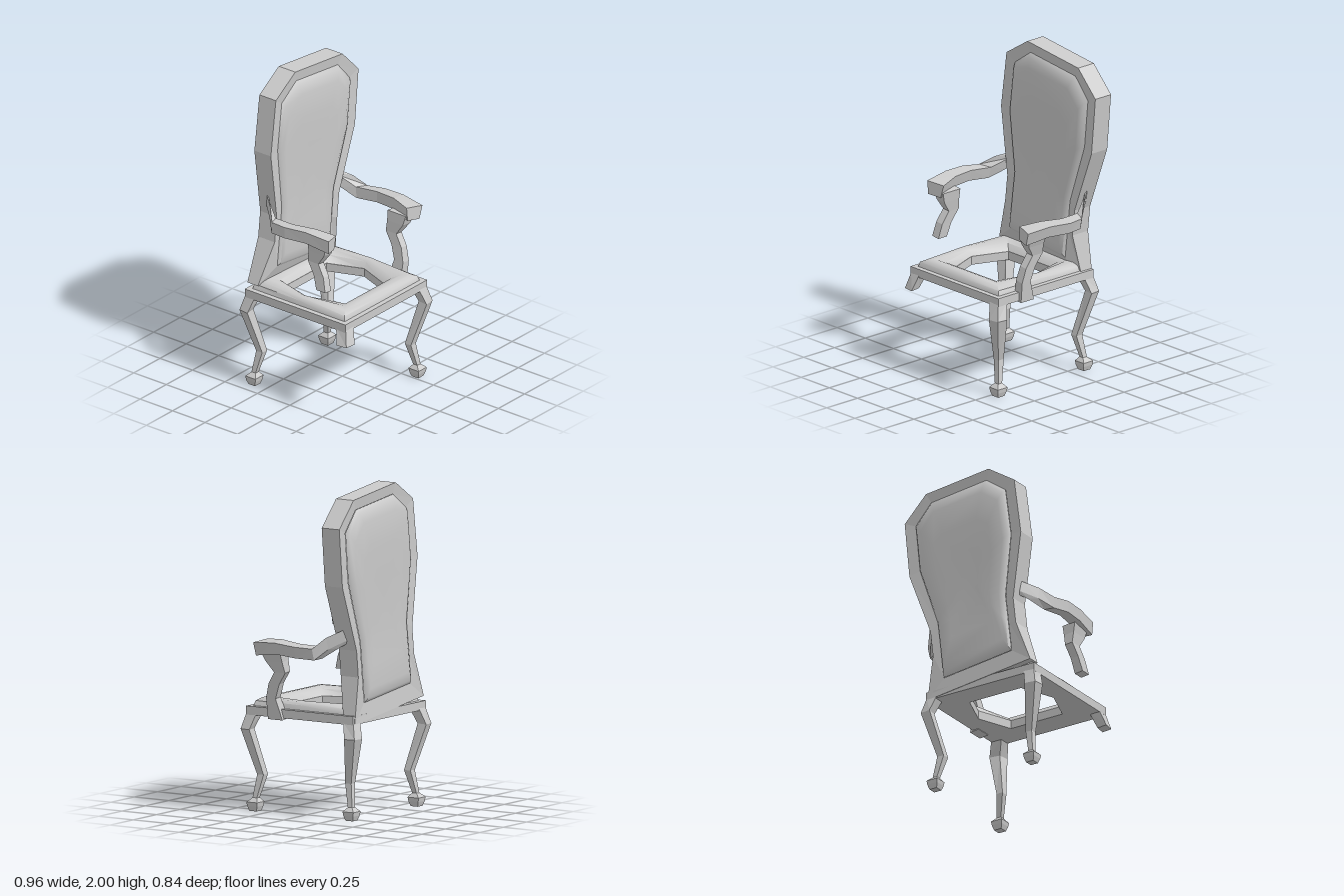
import * as THREE from 'three';
import { toCreasedNormals } from 'three/addons/utils/BufferGeometryUtils.js';

const flat = new THREE.MeshStandardMaterial({ color: 0xcccccc, flatShading: true, side: THREE.DoubleSide });
const smooth = new THREE.MeshStandardMaterial({ color: 0xcccccc, side: THREE.DoubleSide });

// Skin a list of rings (each a loop of [x, y, z]) with optional end caps.
// flip reverses the faces, for mirrored parts.
function loft(rings, { caps = false, flip = false } = {}) {
  const pos = [];
  const tri = (a, b, c) => pos.push(...a, ...(flip ? c : b), ...(flip ? b : c));
  const n = rings[0].length;
  for (let i = 0; i < rings.length - 1; i++) {
    for (let j = 0; j < n; j++) {
      const k = (j + 1) % n;
      const a = rings[i][j], b = rings[i][k], c = rings[i + 1][k], d = rings[i + 1][j];
      tri(a, b, c);
      tri(a, c, d);
    }
  }
  if (caps) {
    const centre = (r) => [0, 1, 2].map((m) => r.reduce((s, p) => s + p[m], 0) / n);
    const first = rings[0], last = rings[rings.length - 1];
    for (let j = 0; j < n; j++) {
      const k = (j + 1) % n;
      tri(centre(first), first[k], first[j]);
      tri(centre(last), last[j], last[k]);
    }
  }
  const g = new THREE.BufferGeometry();
  g.setAttribute('position', new THREE.Float32BufferAttribute(pos, 3));
  g.computeVertexNormals();
  return g;
}

function add(parent, name, geometry, material = flat) {
  const mesh = new THREE.Mesh(geometry, material);
  mesh.name = name;
  parent.add(mesh);
}

const mirrorLoop = (half) => [...half, ...half.slice().reverse().map(([x, y]) => [-x, y])];

// Seat: slab with a six-sided opening, and a padded rim around it
function makeSeat() {
  const seat = new THREE.Group();
  seat.name = 'seat';
  const hole = [[0.27, 0], [0.185, 0.223], [0, 0.223], [-0.185, 0.223],
    [-0.27, 0], [-0.185, -0.223], [0, -0.223], [0.185, -0.223]];
  const edge = [[1, 0], [1, 1], [0, 1], [-1, 1], [-1, 0], [-1, -1], [0, -1], [1, -1]]
    .map(([x, z]) => [x * 0.358, z * 0.355]);

  const shape = new THREE.Shape([[-0.39, -0.387], [0.39, -0.387], [0.39, 0.387], [-0.39, 0.387]]
    .map(([x, y]) => new THREE.Vector2(x, y)));
  shape.holes.push(new THREE.Path(hole.map(([x, y]) => new THREE.Vector2(x, y))));
  const slab = new THREE.ExtrudeGeometry(shape, { depth: 0.053, bevelEnabled: false });
  slab.rotateX(-Math.PI / 2).translate(0, 0.585, 0);
  add(seat, 'seatFrame', slab);

  // [blend from outer edge to opening, height]
  const rings = [[0, 0.636], [0.06, 0.668], [0.25, 0.686], [0.5, 0.69], [0.78, 0.675], [1, 0.636]]
    .map(([t, y]) => edge.map(([x, z], i) => [x + (hole[i][0] - x) * t, y, z + (hole[i][1] - z) * t]));
  add(seat, 'seatCushion', toCreasedNormals(loft(rings, { flip: true }), 0.9), smooth);
  seat.position.x = -0.06;
  return seat;
}

// Leg: diamond cross-sections set along the seat diagonal
// [height, distance out, half width, half depth]
const legSections = [
  [0.60, 0.495, 0.052, 0.05], [0.50, 0.54, 0.055, 0.042], [0.22, 0.448, 0.03, 0.033],
  [0.08, 0.487, 0.022, 0.022], [0.055, 0.492, 0.055, 0.055], [0.03, 0.492, 0.05, 0.05], [0, 0.492, 0.036, 0.036],
];
function makeLeg(sx, sz, count) {
  const h = Math.SQRT1_2;
  const rings = legSections.slice(0, count).map(([y, r, t, d]) =>
    [[r + d, 0], [r, t], [r - d, 0], [r, -t]]
      .map(([a, b]) => [sx * (a - b) * h - 0.06, y, sz * (a + b) * h]));
  return loft(rings, { caps: true, flip: sx * sz < 0 });
}

// Back: waisted frame with a padded panel on both faces
function makeBack(back) {
  const outer = mirrorLoop([[0.227, 1.334], [0.397, 1.194], [0.404, 0.836],
    [0.3, 0.42], [0.3, 0.255], [0.372, -0.023]]);
  const inner = mirrorLoop([[0.2, 1.268], [0.325, 1.155], [0.33, 0.85],
    [0.245, 0.46], [0.245, 0.28], [0.245, 0.085]]);
  const at = (loop, z) => loop.map(([x, y]) => [x, y, z]);
  const front = outer.map(([x, y]) => [x, y, y < 0 ? -0.31 : -0.263]);
  add(back, 'backFrame', loft([at(inner, -0.272), front, at(outer, -0.39), at(inner, -0.381)]));

  // [scale towards the middle, swell]
  const swell = [[1, 0], [0.96, 0.017], [0.86, 0.029], [0.6, 0.031], [0.3, 0.029], [0.001, 0.028]];
  for (const [name, z, dir] of [['backCushionFront', -0.272, 1], ['backCushionRear', -0.383, -1]]) {
    const rings = swell.map(([k, b]) => inner.map(([x, y]) => {
      const v = 0.66 + (y - 0.66) * k;
      return [x * k, v, z + dir * b * (0.7 + 0.5 * Math.min(1, Math.abs(v - 0.5) / 0.5))];
    }));
    add(back, name, toCreasedNormals(loft(rings, { flip: dir > 0 }), 1), smooth);
  }
}

// Arm: [x, y, z, half width, half height, skew of the end]
const armSections = [
  [0.3, 0.515, -0.345, 0.03, 0.035, 0.02], [0.365, 0.475, -0.27, 0.033, 0.036, 0.03],
  [0.422, 0.415, -0.19, 0.037, 0.036, 0.015], [0.444, 0.424, -0.06, 0.04, 0.036, 0],
  [0.424, 0.432, 0.09, 0.046, 0.037, 0], [0.395, 0.412, 0.238, 0.056, 0.042, 0.016],
];
function makeArm(s) {
  const rings = armSections.map(([x, y, z, w, h, k]) =>
    [[-1, 1], [1, 1], [0.75, -1], [-0.75, -1]].map(([a, b]) => [s * (x + a * w), y + b * h, z + a * k]));
  return loft(rings, { caps: true, flip: s > 0 });
}

// Arm post: [x, y, z, half width, half depth]
const postSections = [
  [0.385, 0.4, 0.15, 0.045, 0.07], [0.378, 0.335, 0.14, 0.035, 0.06], [0.374, 0.265, 0.112, 0.026, 0.04],
  [0.374, 0.19, 0.16, 0.026, 0.038], [0.374, 0.1, 0.187, 0.028, 0.034], [0.372, -0.03, 0.165, 0.03, 0.052],
];
function makePost(s, count) {
  const rings = postSections.slice(0, count).map(([x, y, z, w, d]) =>
    [[-1, -1], [1, -1], [1, 1], [-1, 1]].map(([a, b]) => [s * (x + a * w), y, z + b * d]));
  return loft(rings, { caps: true, flip: s < 0 });
}

export function createModel() {
  const chair = new THREE.Group();
  chair.name = 'chair';
  chair.add(makeSeat());

  // The front right leg is snapped off below its knee
  for (const [name, sx, sz, count] of [['frontLeftLeg', 1, 1, 7], ['brokenFrontRightLeg', -1, 1, 2],
    ['backLeftLeg', 1, -1, 7], ['backRightLeg', -1, -1, 7]]) {
    add(chair, name, makeLeg(sx, sz, count));
  }

  // Back and arms lean sideways together; the right post is broken short
  const back = new THREE.Group();
  back.name = 'leaningBack';
  makeBack(back);
  for (const [side, s, count] of [['left', 1, 6], ['right', -1, 5]]) {
    add(back, side + 'Arm', makeArm(s));
    add(back, side + 'ArmPost', makePost(s, count));
  }
  back.position.set(-0.05, 0.65, 0);
  back.rotation.z = -0.115;
  chair.add(back);
  return chair;
}
